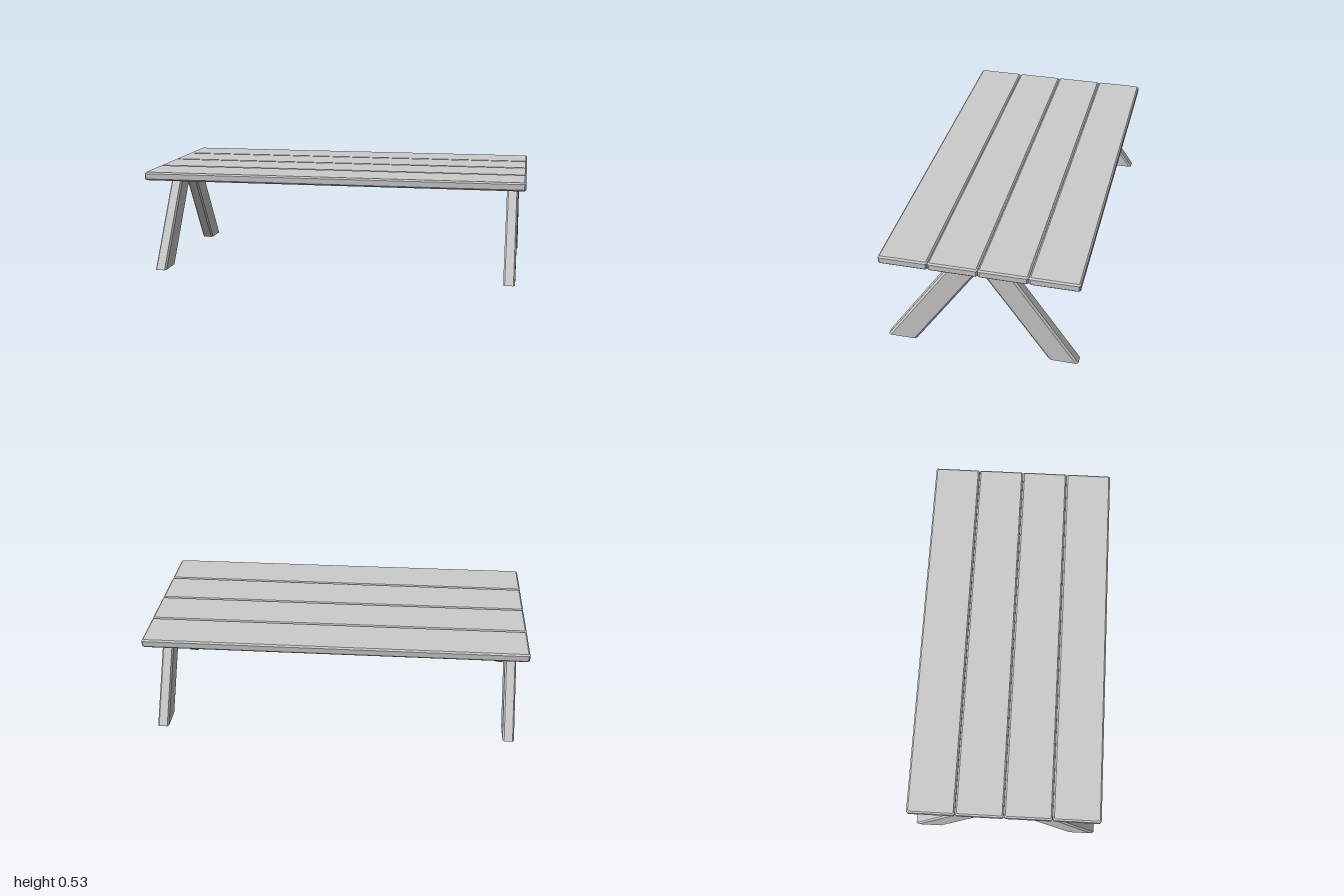
import * as THREE from 'three';

const material = new THREE.MeshStandardMaterial({ color: 0xcccccc });

// Rectangle with clipped corners, centred on the origin
function clippedRect(w, d, cx, cy) {
  const a = w / 2, b = d / 2;
  return new THREE.Shape([
    [a, -b + cy], [a, b - cy], [a - cx, b], [-a + cx, b],
    [-a, b - cy], [-a, -b + cy], [-a + cx, -b], [a - cx, -b],
  ].map(([x, y]) => new THREE.Vector2(x, y)));
}

// Board lying flat, chamfered on every edge, base at y = 0
function plankGeometry(length, height, width, c) {
  const geometry = new THREE.ExtrudeGeometry(clippedRect(length, width, c, c), {
    depth: height - 2 * c, bevelThickness: c, bevelSize: c, bevelOffset: -c, bevelSegments: 1,
  });
  return geometry.translate(0, 0, c).rotateX(-Math.PI / 2);
}

// Upright post with chamfered long edges, sheared so its foot splays outwards
function legGeometry(height, zFoot, zTop) {
  const geometry = new THREE.ExtrudeGeometry(clippedRect(0.06, 0.15, 0.008, 0.012), {
    depth: height, bevelEnabled: false,
  });
  geometry.rotateX(-Math.PI / 2);
  const p = geometry.attributes.position;
  for (let i = 0; i < p.count; i++) {
    p.setZ(i, p.getZ(i) + THREE.MathUtils.lerp(zFoot, zTop, p.getY(i) / height));
  }
  geometry.computeVertexNormals();
  return geometry;
}

export function createModel() {
  const table = new THREE.Group();
  table.name = 'table';

  // Table top: four planks side by side
  const top = new THREE.Group();
  top.name = 'tableTop';
  const plank = plankGeometry(2, 0.044, 0.249, 0.008);
  for (let i = 0; i < 4; i++) {
    const mesh = new THREE.Mesh(plank, material);
    mesh.name = `plank${i + 1}`;
    mesh.position.set(0, 0.49, -0.375 + i * 0.25);
    top.add(mesh);
  }
  table.add(top);

  // A pair of splayed legs near each end
  for (const [zName, zSide] of [['front', 1], ['back', -1]]) {
    const geometry = legGeometry(0.492, zSide * 0.42, zSide * 0.083);
    for (const [xName, xSide] of [['Left', 1], ['Right', -1]]) {
      const leg = new THREE.Mesh(geometry, material);
      leg.name = `${zName}${xName}Leg`;
      leg.position.x = xSide * 0.93;
      table.add(leg);
    }
  }
  return table;
}
